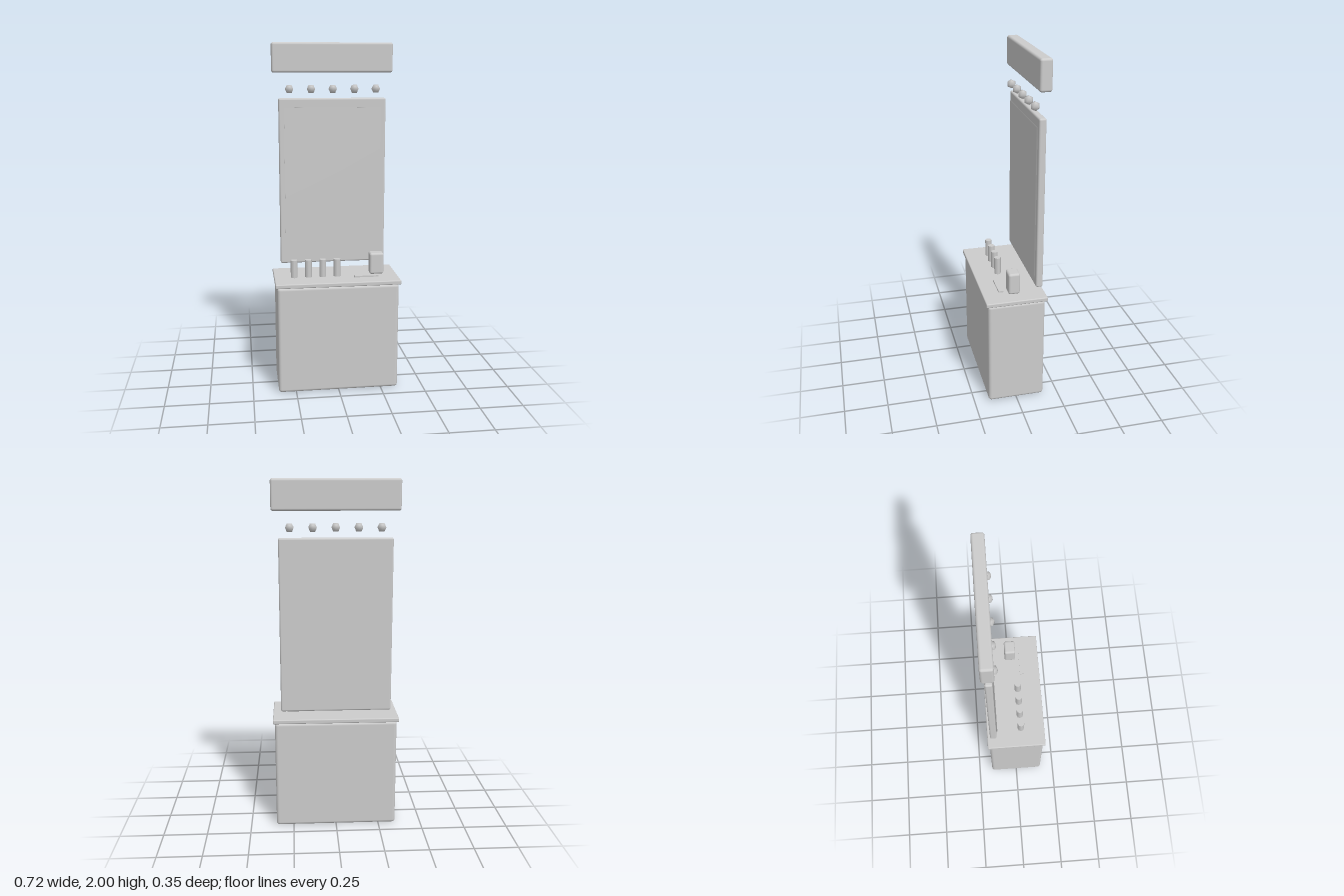
import * as THREE from 'three';
import { RoundedBoxGeometry } from 'three/addons/geometries/RoundedBoxGeometry.js';
import { mergeVertices } from 'three/addons/utils/BufferGeometryUtils.js';

const grey = new THREE.MeshStandardMaterial({ color: 0xcccccc });
grey.name = 'light grey';

// Share corner vertices so the normals blend across the faces
function soften(geometry) {
  geometry.deleteAttribute('normal');
  geometry.deleteAttribute('uv');
  const merged = mergeVertices(geometry, 1e-4);
  merged.computeVertexNormals();
  return merged;
}

export function createModel() {
  const model = new THREE.Group();
  model.name = 'vanityStation';

  function add(name, geometry, x, y, z) {
    const mesh = new THREE.Mesh(geometry, grey);
    mesh.name = name;
    mesh.position.set(x, y, z);
    model.add(mesh);
    return mesh;
  }

  // Rounded box given by its extents on each axis
  function slab(name, [x0, x1], [y0, y1], [z0, z1], radius) {
    const geometry = new RoundedBoxGeometry(x1 - x0, y1 - y0, z1 - z0, 3, radius);
    return add(name, geometry, (x0 + x1) / 2, (y0 + y1) / 2, (z0 + z1) / 2);
  }

  // Base and worktop
  slab('cabinet', [-0.351, 0.351], [0, 0.635], [-0.165, 0.165], 0.018);
  slab('countertop', [-0.362, 0.362], [0.635, 0.66], [-0.177, 0.177], 0.006);

  // Mirror with frame
  slab('mirrorFrame', [-0.314, 0.314], [0.705, 1.685], [-0.159, -0.119], 0.01);
  add('mirrorGlass', soften(new THREE.BoxGeometry(0.565, 0.877, 0.008)), 0, 1.193, -0.116);

  // Header sign box
  slab('headerBox', [-0.351, 0.351], [1.83, 2], [-0.175, -0.108], 0.013);

  // Row of bulbs
  const bulb = soften(new THREE.IcosahedronGeometry(0.027, 0));
  for (let i = 0; i < 5; i++) add('bulb', bulb, -0.252 + i * 0.126, 1.738, -0.112);

  // Bottles on the counter
  const bottle = new THREE.CylinderGeometry(0.02, 0.02, 0.105, 8);
  for (let i = 0; i < 4; i++) add('bottle', bottle, -0.246 + i * 0.084, 0.711, 0.033);

  // Canister and comb
  slab('canister', [0.202, 0.285], [0.66, 0.788], [-0.035, 0.032], 0.013);
  add('comb', new THREE.BoxGeometry(0.14, 0.009, 0.027), 0.174, 0.664, 0.068);

  return model;
}
